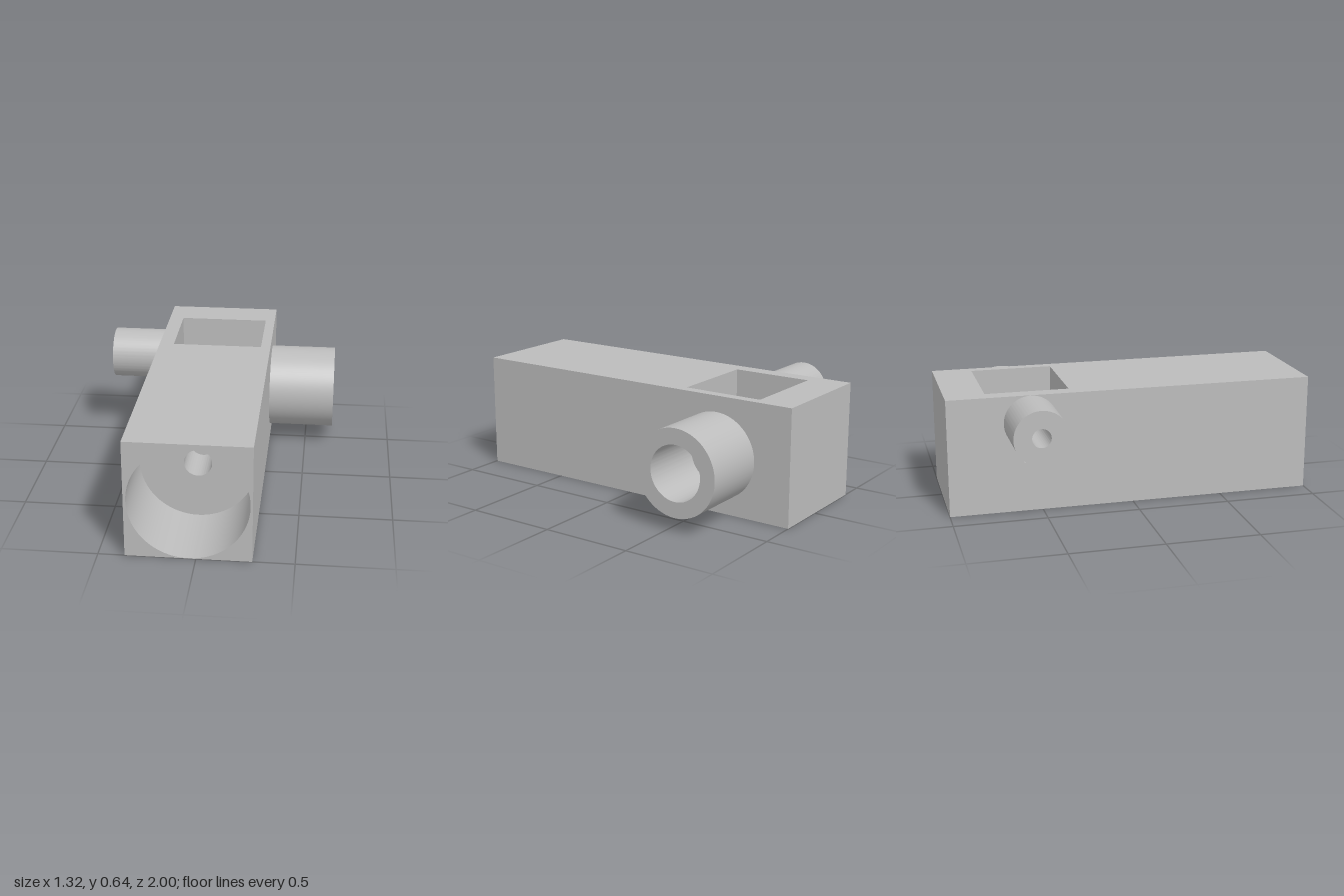
import * as THREE from 'three';
import { toCreasedNormals } from 'three/addons/utils/BufferGeometryUtils.js';

const X0 = -0.363, X1 = 0.285, H = 0.637; // body width limits and height
const CX = -0.038, CY = 0.313, CZ = -0.56; // bore axes
const POCKET_FRONT = -0.335, POCKET_R = 0.225;

export function createModel() {
  const model = new THREE.Group();
  const metal = new THREE.MeshStandardMaterial({ color: 0xbcbcbc });
  metal.name = 'grey metal';

  const trace = (path, points) => {
    points.forEach(([x, y], i) => (i ? path.lineTo(x, y) : path.moveTo(x, y)));
    path.closePath();
    return path;
  };
  const rect = (x0, y0, x1, y1, Type = THREE.Shape) =>
    trace(new Type(), [[x0, y0], [x1, y0], [x1, y1], [x0, y1]]);
  const disc = (x, y, r, Type = THREE.Path) => {
    const path = new Type();
    path.absarc(x, y, r, 0, Math.PI * 2, false);
    return path;
  };

  // Extrude a section between two positions along z, or along x (section drawn in -z, y)
  function add(name, shape, hole, from, to, alongX = false) {
    if (hole) shape.holes.push(hole);
    let geo = new THREE.ExtrudeGeometry(shape, { depth: to - from, bevelEnabled: false, curveSegments: 64 });
    geo.translate(0, 0, from);
    if (alongX) geo.rotateY(Math.PI / 2);
    geo = toCreasedNormals(geo, 0.5);
    const mesh = new THREE.Mesh(geo, metal);
    mesh.name = name;
    model.add(mesh);
  }

  // Front half of the body: wide bore, stepped passage, small square port into the pocket
  const section = () => rect(X0, 0, X1, H);
  add('mainBoreBlock', section(), disc(CX, CY, 0.3115), 0.55, 1);
  add('passageBlock', section(), disc(CX, CY, 0.075), 0.3, 0.55);
  add('narrowPassageBlock', section(), disc(CX, CY, 0.051), -0.25, 0.3);
  add('portBlock', section(), rect(-0.09, 0.27, -0.005, 0.36, THREE.Path), POCKET_FRONT, -0.25);

  // Pocket with a half-round floor, open at the top
  const front = -POCKET_FRONT, back = -CZ + POCKET_R;
  const cradle = new THREE.Shape();
  cradle.moveTo(front, 0);
  cradle.lineTo(1, 0);
  cradle.lineTo(1, H);
  cradle.lineTo(back, H);
  cradle.lineTo(back, CY);
  cradle.absarc(-CZ, CY, POCKET_R, 0, -Math.PI + 0.2, true);
  cradle.lineTo(front, CY - POCKET_R * Math.sin(0.2));
  cradle.closePath();
  add('pocketCradle', cradle, null, -0.28, 0.23, true);

  // Side walls of the pocket, one with a round hole, one with a slot
  const wall = () => rect(front, 0, 1, H);
  add('leftWall', wall(), disc(0.555, CY, 0.052), 0.23, X1, true);
  add('rightWall', wall(), rect(0.5, 0.27, 0.595, 0.49, THREE.Path), X0, -0.28, true);

  // Side pipes
  add('largePipe', disc(0.555, CY, 0.236, THREE.Shape), disc(0.555, CY, 0.15), X1, 0.66, true);
  add('smallPipe', disc(0.555, 0.49, 0.145, THREE.Shape), disc(0.555, 0.49, 0.05), -0.66, X0, true);

  return model;
}
